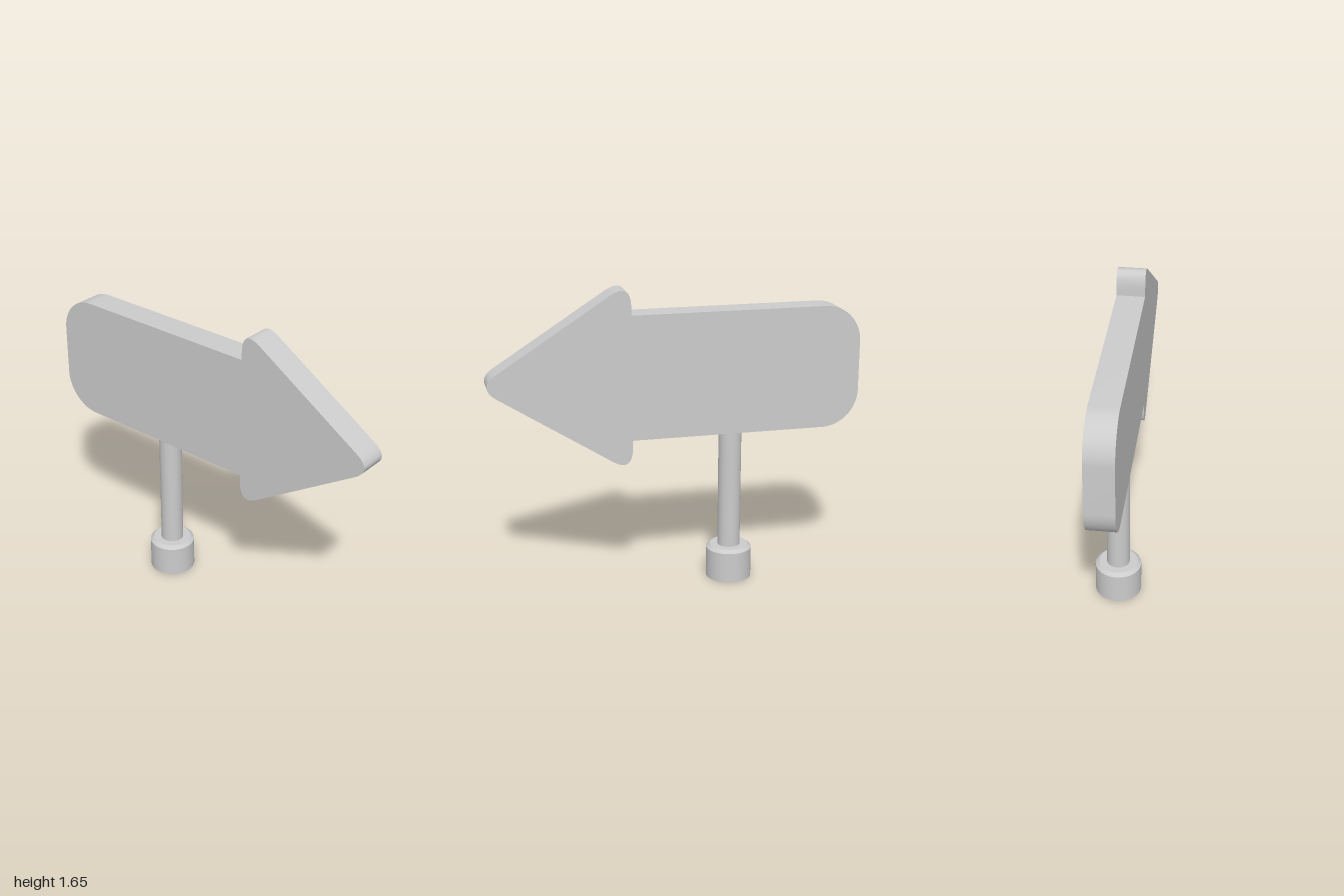
import * as THREE from 'three';
import { toCreasedNormals } from 'three/addons/utils/BufferGeometryUtils.js';

const MID = 1.185;    // height of the board's centre line
const POLE_X = -0.302;
const material = new THREE.MeshStandardMaterial({ color: 0xcccccc });
const openMaterial = new THREE.MeshStandardMaterial({ color: 0xcccccc, side: THREE.DoubleSide });

function addPart(group, name, geometry, mat = material) {
  const mesh = new THREE.Mesh(geometry, mat);
  mesh.name = name;
  group.add(mesh);
  return mesh;
}

// Arrow outline around y = 0, counter-clockwise from the lower left
function arrowShape() {
  const h = 0.335, r = 0.2, neck = 0.25;
  const s = new THREE.Shape();
  s.moveTo(-1 + r, -h);
  s.lineTo(neck, -h);
  s.lineTo(neck, -0.37);
  s.quadraticCurveTo(neck, -0.512, 0.36, -0.443);
  s.lineTo(0.95, -0.065);
  s.quadraticCurveTo(1.05, 0, 0.95, 0.065);
  s.lineTo(0.36, 0.443);
  s.quadraticCurveTo(neck, 0.512, neck, 0.37);
  s.lineTo(neck, h);
  s.lineTo(-1 + r, h);
  s.absarc(-1 + r, h - r, r, Math.PI / 2, Math.PI, false);
  s.lineTo(-1, -h + r);
  s.absarc(-1 + r, -h + r, r, Math.PI, Math.PI * 1.5, false);
  return s;
}

export function createModel() {
  const model = new THREE.Group();
  model.name = 'arrowSign';

  // Thick arrow board
  const board = new THREE.ExtrudeGeometry(arrowShape(), {
    depth: 0.15, bevelEnabled: false, curveSegments: 16,
  });
  board.translate(0, MID, -0.075);
  addPart(model, 'arrowBoard', toCreasedNormals(board, 0.5));

  // Pole running from the base up to the board
  const pole = new THREE.CylinderGeometry(0.062, 0.062, 0.7, 40, 1, true);
  addPart(model, 'pole', pole).position.set(POLE_X, 0.53, 0);

  // Chamfered base, open underneath
  const profile = [[0.125, 0], [0.125, 0.17], [0.105, 0.187], [0.062, 0.187]]
    .map(([x, y]) => new THREE.Vector2(x, y));
  const base = toCreasedNormals(new THREE.LatheGeometry(profile, 48), 0.5);
  addPart(model, 'base', base, openMaterial).position.x = POLE_X;

  return model;
}
